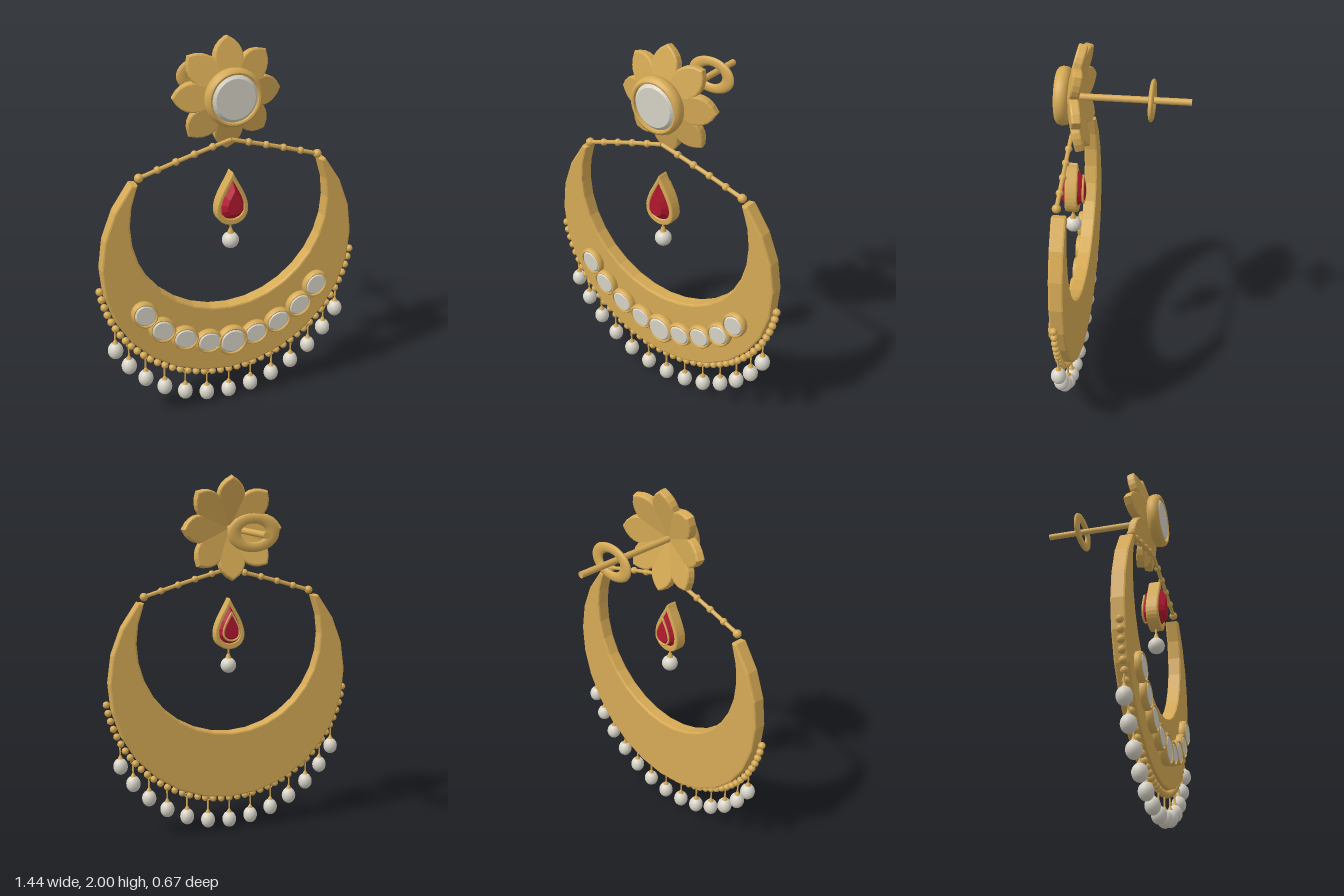
import * as THREE from 'three';
import { toCreasedNormals } from 'three/addons/utils/BufferGeometryUtils.js';

const material = (name, color) => {
  const m = new THREE.MeshStandardMaterial({ color });
  m.name = name;
  return m;
};

export function createModel() {
  const gold = material('gold', 0xd6aa55);
  const pearl = material('pearl', 0xd8d4c8);
  const crystal = material('crystal', 0xd6d3c6);
  const ruby = material('ruby', 0xb3182f);
  const root = new THREE.Group();
  root.name = 'earring';

  const add = (parent, name, geometry, mat, x = 0, y = 0, z = 0) => {
    const mesh = new THREE.Mesh(geometry, mat);
    mesh.name = name;
    mesh.position.set(x, y, z);
    parent.add(mesh);
    return mesh;
  };
  const group = (name, x = 0, y = 0, z = 0) => {
    const g = new THREE.Group();
    g.name = name;
    g.position.set(x, y, z);
    root.add(g);
    return g;
  };

  // Oval gold setting with a faceted flat stone; local origin is its back face
  const rim = [[0, 0], [0.88, 0], [0.97, 0.14], [1, 0.4], [1, 0.65], [0.96, 0.88], [0.88, 1],
    [0.82, 0.97], [0.8, 0.75], [0, 0.75]].map(([r, h]) => new THREE.Vector2(r, h));
  const settingGeo = toCreasedNormals(new THREE.LatheGeometry(rim, 40).rotateX(Math.PI / 2), 0.7);
  const stoneGeo = toCreasedNormals(
    new THREE.CylinderGeometry(0.69, 0.82, 0.25, 32).rotateX(Math.PI / 2), 0.1);
  const medallion = (name, x, y, z, rx, ry, depth, angle = 0) => {
    const g = group(name, x, y, z);
    g.rotation.z = angle;
    g.scale.set(rx, ry, depth);
    add(g, 'setting', settingGeo, gold);
    add(g, 'stone', stoneGeo, crystal, 0, 0, 0.86);
  };

  // Flower with petals swept backwards
  const petal = new THREE.Shape();
  petal.moveTo(0, 0);
  petal.lineTo(0.062, 0.15);
  petal.bezierCurveTo(0.074, 0.185, 0.07, 0.245, 0, 0.28);
  petal.bezierCurveTo(-0.07, 0.245, -0.074, 0.185, -0.062, 0.15);
  petal.lineTo(0, 0);
  const petalGeo = new THREE.ExtrudeGeometry(petal, {
    depth: 0.03, bevelSize: 0.009, bevelThickness: 0.009, bevelSegments: 2, curveSegments: 6,
  }).translate(0, 0, -0.015);
  const flower = group('flower', 0, 1.72, 0.27);
  for (let i = 0; i < 8; i++) {
    const arm = new THREE.Group();
    arm.name = 'petalArm';
    arm.rotation.z = i * Math.PI / 4;
    flower.add(arm);
    add(arm, 'petal', petalGeo, gold).rotation.x = -0.26;
  }
  medallion('flowerCentre', 0, 1.72, 0.268, 0.147, 0.147, 0.067);

  // Ear post and oval clutch
  add(root, 'post', new THREE.CylinderGeometry(0.017, 0.017, 0.595, 16).rotateX(Math.PI / 2),
    gold, 0, 1.72, -0.0375);
  add(root, 'clutch', new THREE.TorusGeometry(0.104, 0.036, 12, 36), gold, 0, 1.72, -0.14)
    .scale.set(1, 0.7, 0.38);

  // Crescent plate
  const arc = (cy, r, from, to, n = 20) => Array.from({ length: n + 1 }, (_, i) => {
    const a = from + (to - from) * i / n;
    return new THREE.Vector2(r * Math.cos(a), cy + r * Math.sin(a));
  });
  const crescent = new THREE.Shape([
    ...arc(0.885, 0.677, 0.709, -Math.PI - 0.709),
    ...arc(1.11, 0.543, -Math.PI - 0.405, 0.405),
  ]);
  add(root, 'crescent', new THREE.ExtrudeGeometry(crescent, {
    depth: 0.056, bevelSize: 0.01, bevelThickness: 0.01, bevelSegments: 2,
  }), gold, 0, 0, 0.227);

  // Row of stones on the crescent
  medallion('centreMedallion', 0, 0.383, 0.287, 0.087, 0.085, 0.046);
  [[0.132, 0.403], [0.264, 0.45], [0.386, 0.524], [0.478, 0.63]].forEach(([x, y]) => {
    for (const s of [-1, 1]) {
      medallion('sideMedallion', s * x, y, 0.287, 0.077, 0.067, 0.042,
        s * Math.atan2(x, 0.96 - y));
    }
  });

  // Beaded outer edge
  const beadGeo = new THREE.SphereGeometry(0.02, 12, 8);
  arc(0.885, 0.705, -0.145, -Math.PI + 0.145, 42).forEach(
    (p) => add(root, 'rimBead', beadGeo, gold, p.x, p.y, 0.268));

  // Hanging pearls
  const pearlGeo = new THREE.SphereGeometry(0.04, 20, 14);
  const wireGeo = new THREE.CylinderGeometry(0.005, 0.005, 0.08, 8);
  const capGeo = new THREE.CylinderGeometry(0.005, 0.018, 0.025, 12);
  const loopGeo = new THREE.TorusGeometry(0.011, 0.004, 6, 14);
  for (let i = -6; i <= 6; i++) {
    const a = i * 0.1815;
    const g = group('pearlDrop', 0.709 * Math.sin(a), 0.885 - 0.709 * Math.cos(a), 0.268);
    add(g, 'loop', loopGeo, gold);
    add(g, 'wire', wireGeo, gold, 0, -0.05);
    add(g, 'cap', capGeo, gold, 0, -0.075);
    add(g, 'pearl', pearlGeo, pearl, 0, -0.126).scale.y = 1.17;
  }

  // Beaded chain from both crescent tips to the flower
  const chainBead = new THREE.SphereGeometry(0.019, 14, 10);
  for (const s of [-1, 1]) {
    const points = [1.497, 1.472, 1.446, 1.419, 1.39, 1.361].map(
      (y, i) => new THREE.Vector3(s * i * 0.0955, y, 0.27));
    const path = new THREE.CatmullRomCurve3(points);
    add(root, 'chain', new THREE.TubeGeometry(path, 20, 0.011, 8), gold);
    points.slice(1).forEach((p, i) => add(root, 'chainBead', chainBead, gold, p.x, p.y, p.z)
      .scale.setScalar(i === 4 ? 1.2 : 1));
  }

  // Teardrop outline, counter-clockwise from the tip
  const tear = (scale, n) => Array.from({ length: n }, (_, i) => {
    const t = i / n * Math.PI * 2;
    return new THREE.Vector2(
      -0.119 * scale * Math.sin(t) * Math.abs(Math.sin(t / 2)) ** 1.5,
      0.141 * scale * Math.cos(t));
  });
  const drop = group('teardrop', 0, 1.192, 0);
  const frame = new THREE.Shape(tear(0.96, 36));
  frame.holes.push(new THREE.Path(tear(0.8, 36)));
  add(drop, 'frame', new THREE.ExtrudeGeometry(frame, {
    depth: 0.05, bevelSize: 0.006, bevelThickness: 0.008, bevelSegments: 2,
  }), gold, 0, 0, 0.248);

  // Faceted gem lofted through teardrop sections: [scale, z]
  const n = 14;
  const rings = [[0.46, 0.208], [0.8, 0.25], [0.8, 0.295], [0.47, 0.335]].map(([s, z]) =>
    tear(s, n).map((p) => new THREE.Vector3(p.x, p.y - 0.025 * (0.8 - s), z)));
  const corners = [];
  for (let i = 0; i < n; i++) {
    const j = (i + 1) % n;
    for (let k = 0; k < rings.length - 1; k++) {
      const [a, b, c, d] = [rings[k][i], rings[k][j], rings[k + 1][j], rings[k + 1][i]];
      corners.push(a, b, c, a, c, d);
    }
    corners.push(new THREE.Vector3(0, -0.01, 0.335), rings[3][i], rings[3][j]);
    corners.push(new THREE.Vector3(0, -0.01, 0.208), rings[0][j], rings[0][i]);
  }
  const gemGeo = new THREE.BufferGeometry().setFromPoints(corners);
  gemGeo.computeVertexNormals();
  add(drop, 'gem', gemGeo, ruby);

  // Fine wire outline on the back of the gem
  const outline = new THREE.CatmullRomCurve3(
    tear(0.56, 24).map((p) => new THREE.Vector3(p.x, p.y - 0.008, 0.214)), true);
  add(drop, 'backWire', new THREE.TubeGeometry(outline, 48, 0.006, 8, true), gold);

  // Pearl under the teardrop
  add(root, 'dropCap', new THREE.CylinderGeometry(0.008, 0.02, 0.03, 12), gold, 0, 1.006, 0.275);
  add(root, 'dropLink', new THREE.CylinderGeometry(0.006, 0.006, 0.05, 8), gold, 0, 1.035, 0.275);
  add(root, 'dropPearl', new THREE.SphereGeometry(0.044, 24, 16), pearl, 0, 0.956, 0.275);

  return root;
}
